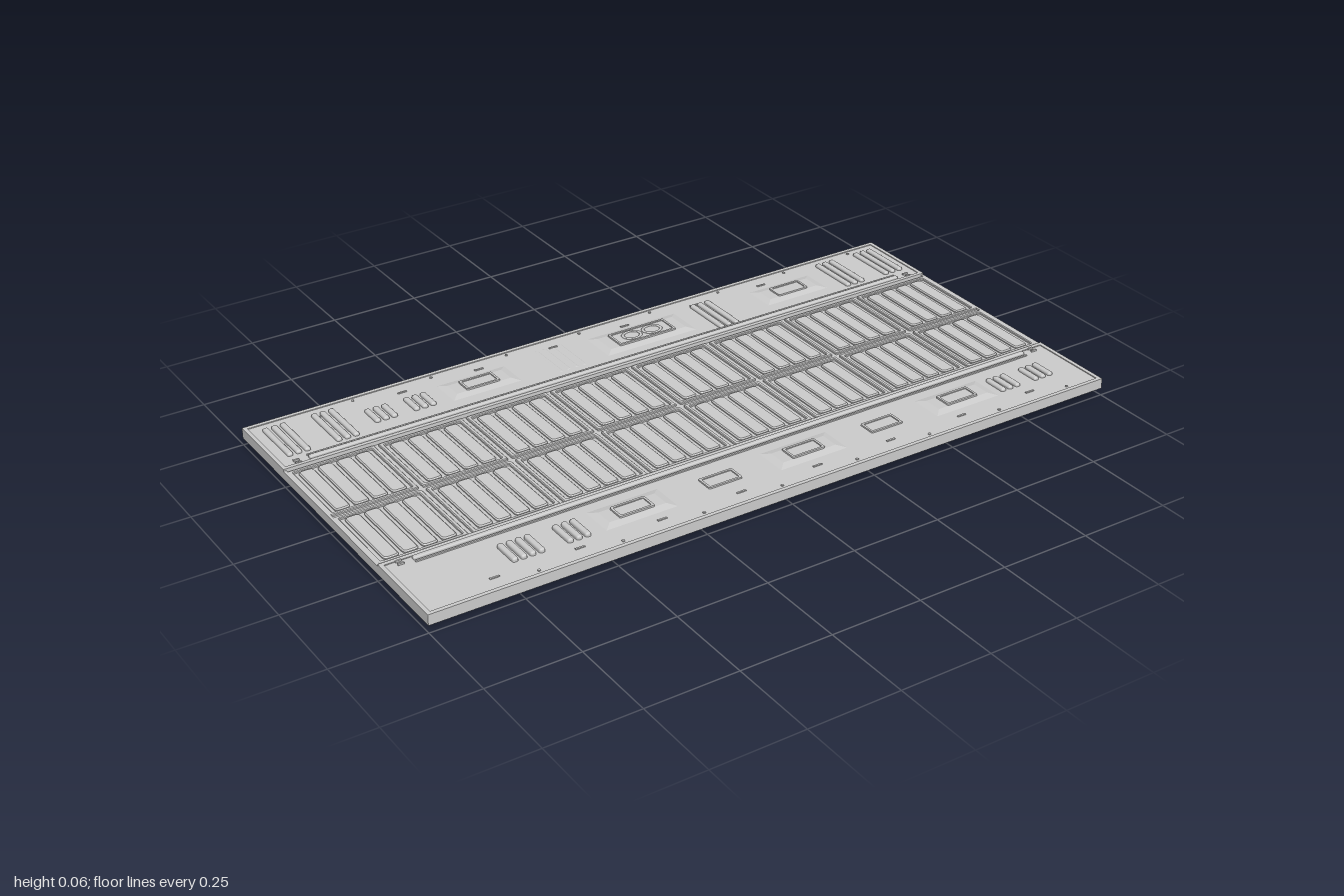
import * as THREE from 'three';
import { RoundedBoxGeometry } from 'three/addons/geometries/RoundedBoxGeometry.js';

const material = new THREE.MeshStandardMaterial({ color: 0xcccccc });

function add(parent, name, geometry, x = 0, y = 0, z = 0) {
  const mesh = new THREE.Mesh(geometry, material);
  mesh.name = name;
  mesh.position.set(x, y, z);
  parent.add(mesh);
  return mesh;
}

function section(parent, name) {
  const group = new THREE.Group();
  group.name = name;
  parent.add(group);
  return group;
}

// rounded rectangle, centred on the origin
function roundRect(Type, w, d, r) {
  const p = new Type(), x = w / 2, y = d / 2;
  p.moveTo(-x + r, -y);
  p.lineTo(x - r, -y); p.quadraticCurveTo(x, -y, x, -y + r);
  p.lineTo(x, y - r); p.quadraticCurveTo(x, y, x - r, y);
  p.lineTo(-x + r, y); p.quadraticCurveTo(-x, y, -x, y - r);
  p.lineTo(-x, -y + r); p.quadraticCurveTo(-x, -y, -x + r, -y);
  return p;
}

// flat plate lying in the xz plane, growing up from y = 0
function plate(shape, h, bevel = 0) {
  const g = new THREE.ExtrudeGeometry(shape, {
    depth: h - bevel, curveSegments: 4, bevelEnabled: bevel > 0,
    bevelThickness: bevel, bevelSize: bevel, bevelOffset: -bevel, bevelSegments: 1,
  });
  return g.rotateX(-Math.PI / 2);
}

function frame(w, d, border, h, r = 0.004, bevel = 0) {
  const shape = roundRect(THREE.Shape, w, d, r);
  shape.holes.push(roundRect(THREE.Path, w - 2 * border, d - 2 * border, r));
  return plate(shape, h, bevel);
}

// box whose top is drawn in, for shallow humps
function hump(w, d, h, inset) {
  const g = new THREE.BoxGeometry(w, h, d).translate(0, h / 2, 0);
  const p = g.attributes.position;
  for (let i = 0; i < p.count; i++) {
    if (p.getY(i) > h / 2) {
      p.setX(i, p.getX(i) * (1 - 2 * inset / w));
      p.setZ(i, p.getZ(i) * (1 - 2 * inset / d));
    }
  }
  g.computeVertexNormals();
  return g;
}

export function createModel() {
  const model = new THREE.Group();
  model.name = 'floorPanel';

  // base slab
  add(model, 'baseSlab', new THREE.BoxGeometry(2, 0.018, 1), 0, 0.029, 0);

  // centre tiles: frame with four raised bars
  const tiles = section(model, 'centreTiles');
  const tileFrame = frame(0.238, 0.242, 0.011, 0.006, 0.004, 0.002);
  const tileBar = plate(roundRect(THREE.Shape, 0.041, 0.212, 0.012), 0.006, 0.003);
  for (let col = 0; col < 8; col++) {
    for (const z of [-0.127, 0.127]) {
      const x = -0.875 + col * 0.25;
      add(tiles, 'tileFrame', tileFrame, x, 0.038, z);
      for (let i = 0; i < 4; i++) add(tiles, 'tileBar', tileBar, x + (i - 1.5) * 0.051, 0.038, z);
    }
  }

  // end strips beside the tiles
  for (const s of [-1, 1]) add(model, 'endStrip', new THREE.BoxGeometry(0.008, 0.024, 0.51), s * 0.996, 0.032, 0);

  // side bands with rim, rail, clips, rivets
  for (const s of [-1, 1]) {
    const band = section(model, s > 0 ? 'frontBand' : 'backBand');
    add(band, 'bandFloor', new THREE.BoxGeometry(1.996, 0.01, 0.243), 0, 0.0415, s * 0.3765);
    add(band, 'bandRim', frame(2, 0.246, 0.011, 0.012, 0.001), 0, 0.037, s * 0.377);
    add(band, 'rail', new RoundedBoxGeometry(1.84, 0.045, 0.014, 2, 0.004), 0, 0.0315, s * 0.275);
    add(band, 'railStep', new THREE.BoxGeometry(1.84, 0.006, 0.005), 0, 0.047, s * 0.289);
    for (const e of [-1, 1]) {
      for (const dz of [0.266, 0.28]) add(band, 'railClip', new THREE.BoxGeometry(0.016, 0.006, 0.005), e * 0.953, 0.048, s * dz);
    }
    for (let i = 0; i < 8; i++) {
      const x = -0.8 + i * 0.228;
      add(band, 'fastener', new THREE.BoxGeometry(0.026, 0.004, 0.005), x, 0.047, s * 0.447);
      add(band, 'rivet', new THREE.CylinderGeometry(0.004, 0.004, 0.004, 8), x + 0.1, 0.047, s * 0.477);
    }
  }

  // vents: upright rounded bars passing through the slab
  // [x, z, length, bottom, top, bar count]
  const vents = section(model, 'vents');
  const ventList = [
    [-0.93, -0.385, 0.155, 0.014, 0.055, 3], [-0.795, -0.385, 0.155, 0.014, 0.055, 3],
    [0.80, -0.385, 0.155, 0.014, 0.055, 3], [0.935, -0.385, 0.155, 0.014, 0.055, 3],
    [0.355, -0.367, 0.155, 0.024, 0.055, 3], [-0.13, -0.385, 0.14, 0.024, 0.0475, 4],
    [-0.67, -0.375, 0.07, 0.014, 0.055, 3], [-0.558, -0.375, 0.07, 0.014, 0.055, 3],
    [-0.69, 0.377, 0.08, 0, 0.057, 4], [-0.553, 0.377, 0.08, 0, 0.057, 3],
    [0.767, 0.374, 0.07, 0.012, 0.055, 3], [0.878, 0.374, 0.07, 0.012, 0.055, 3],
  ];
  for (const [x, z, len, bottom, top, n] of ventList) {
    const bar = new RoundedBoxGeometry(0.016, top - bottom, len, 2, 0.006);
    for (let i = 0; i < n; i++) add(vents, 'ventBar', bar, x + (i - (n - 1) / 2) * 0.024, (top + bottom) / 2, z);
  }

  // hatches: low sloped hump with a raised rectangular lid
  // [x, z, lid width, lid depth, has hump]
  const hatches = section(model, 'hatches');
  const hatchList = [
    [-0.38, -0.38, 0.09, 0.042, true], [0.125, -0.38, 0.17, 0.06, true], [0.615, -0.38, 0.09, 0.042, true],
    [-0.38, 0.37, 0.09, 0.042, true], [-0.125, 0.37, 0.09, 0.042, false], [0.125, 0.37, 0.09, 0.042, true],
    [0.37, 0.37, 0.09, 0.042, false], [0.615, 0.37, 0.09, 0.042, true],
  ];
  for (const [x, z, w, d, raised] of hatchList) {
    if (raised) add(hatches, 'hatchHump', hump(w + 0.12, d + 0.06, 0.006, 0.025), x, 0.0455, z);
    const y = raised ? 0.051 : 0.0455;
    add(hatches, 'hatchLid', hump(w, d, 0.003, 0.003), x, y, z);
    add(hatches, 'hatchFrame', frame(w + 0.008, d + 0.008, 0.006, 0.005), x, y, z);
  }

  // pair of low rings on the wide hatch
  const ring = new THREE.TorusGeometry(0.026, 0.005, 6, 20).rotateX(Math.PI / 2).scale(1, 0.5, 0.8);
  for (const x of [0.093, 0.157]) add(hatches, 'hatchRing', ring, x, 0.0545, -0.38);

  return model;
}
